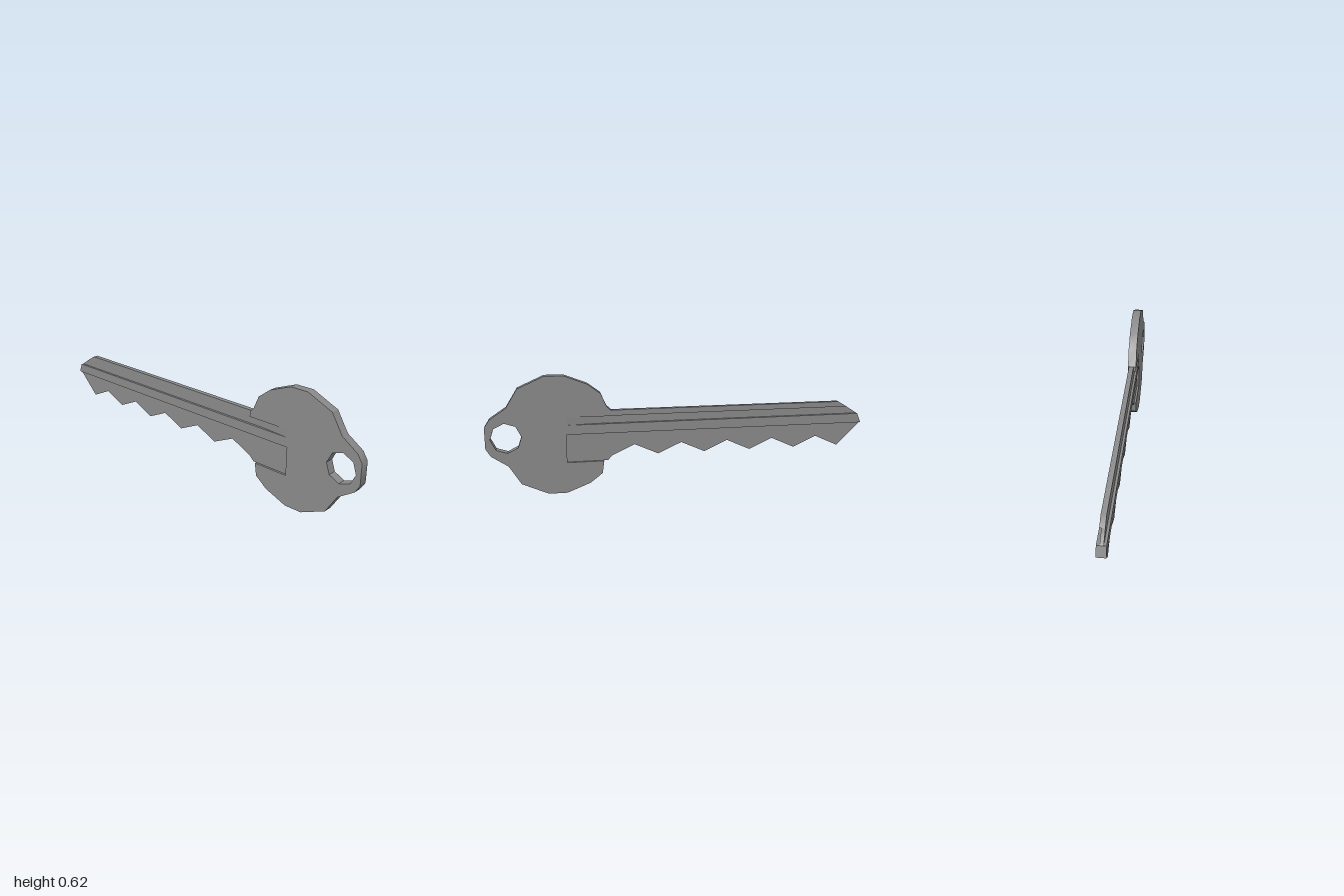
import * as THREE from 'three';
import { toCreasedNormals } from 'three/addons/utils/BufferGeometryUtils.js';

const T = 0.0225; // half thickness of the key
const CREASE = 0.59; // softer corners than this are shaded smooth
const material = new THREE.MeshStandardMaterial({ color: 0x898989 });

const makeShape = (pts) => new THREE.Shape(pts.map(([x, y]) => new THREE.Vector2(x, y)));

// flat plate cut from an outline, between two z depths
function plate(name, shape, back, front) {
  const geo = new THREE.ExtrudeGeometry(shape, { depth: front - back, bevelEnabled: false });
  geo.translate(0, 0, back);
  const mesh = new THREE.Mesh(toCreasedNormals(geo, CREASE), material);
  mesh.name = name;
  return mesh;
}

export function createModel() {
  const key = new THREE.Group();
  key.name = 'key';

  // round head and the full-thickness ridge along the blade, with slots for the thinner parts
  const mid = 0.3085;
  const upper = [[0.385, 0.45], [0.415, 0.52], [0.48, 0.57], [0.6, 0.617], [0.695, 0.617],
    [0.83, 0.557], [0.89, 0.46], [0.975, 0.403], [1, 0.363]];
  const lower = upper.slice(1).reverse().map(([x, y]) => [x, 2 * mid - y]);
  const head = makeShape([
    [-1, 0.311], [-0.98, 0.361], [0.59, 0.361], [0.59, 0.401], [0.363, 0.401], [0.363, 0.43],
    ...upper, ...lower,
    [0.405, 0.163], [0.595, 0.163], [0.595, 0.311],
  ]);
  // ring hole, wound against the outline
  const hole = [];
  for (let i = 0; i < 8; i++) {
    const a = -0.07 + (i * Math.PI) / 4;
    hole.push(new THREE.Vector2(0.897 + 0.078 * Math.cos(a), 0.305 + 0.078 * Math.sin(a)));
  }
  head.holes.push(new THREE.Path(hole));
  key.add(plate('headAndRidge', head, -T, T));

  // toothed lower blade, recessed on both faces
  const teeth = [[-1, 0.311]];
  for (let i = 0; i < 5; i++) {
    const x = -0.872 + i * 0.248;
    teeth.push([x, 0.186], [x + 0.124, 0.242]);
  }
  teeth.push([0.36, 0.188], [0.385, 0.163], [0.595, 0.163], [0.595, 0.311]);
  key.add(plate('toothedBlade', makeShape(teeth), -0.011, 0.011));

  // grooved web and upper rail of the blade
  const web = [[-0.98, 0.361], [0.363, 0.361], [0.363, 0.401], [-0.918, 0.401]];
  key.add(plate('grooveWeb', makeShape(web), -0.007, 0.01));
  const rail = [[-0.918, 0.401], [0.363, 0.401], [0.363, 0.43], [-0.87, 0.43]];
  key.add(plate('upperRail', makeShape(rail), -0.016, 0.01));

  // groove running on into the head, then rising to both faces
  const runout = plate('grooveRunout', makeShape([
    [0.363, -0.01], [0.445, -0.01], [0.59, -T], [0.59, T], [0.445, 0.007], [0.363, 0.007],
  ]), 0, 0.04);
  runout.geometry.rotateX(-Math.PI / 2);
  runout.geometry.translate(0, 0.361, 0);
  key.add(runout);

  return key;
}
